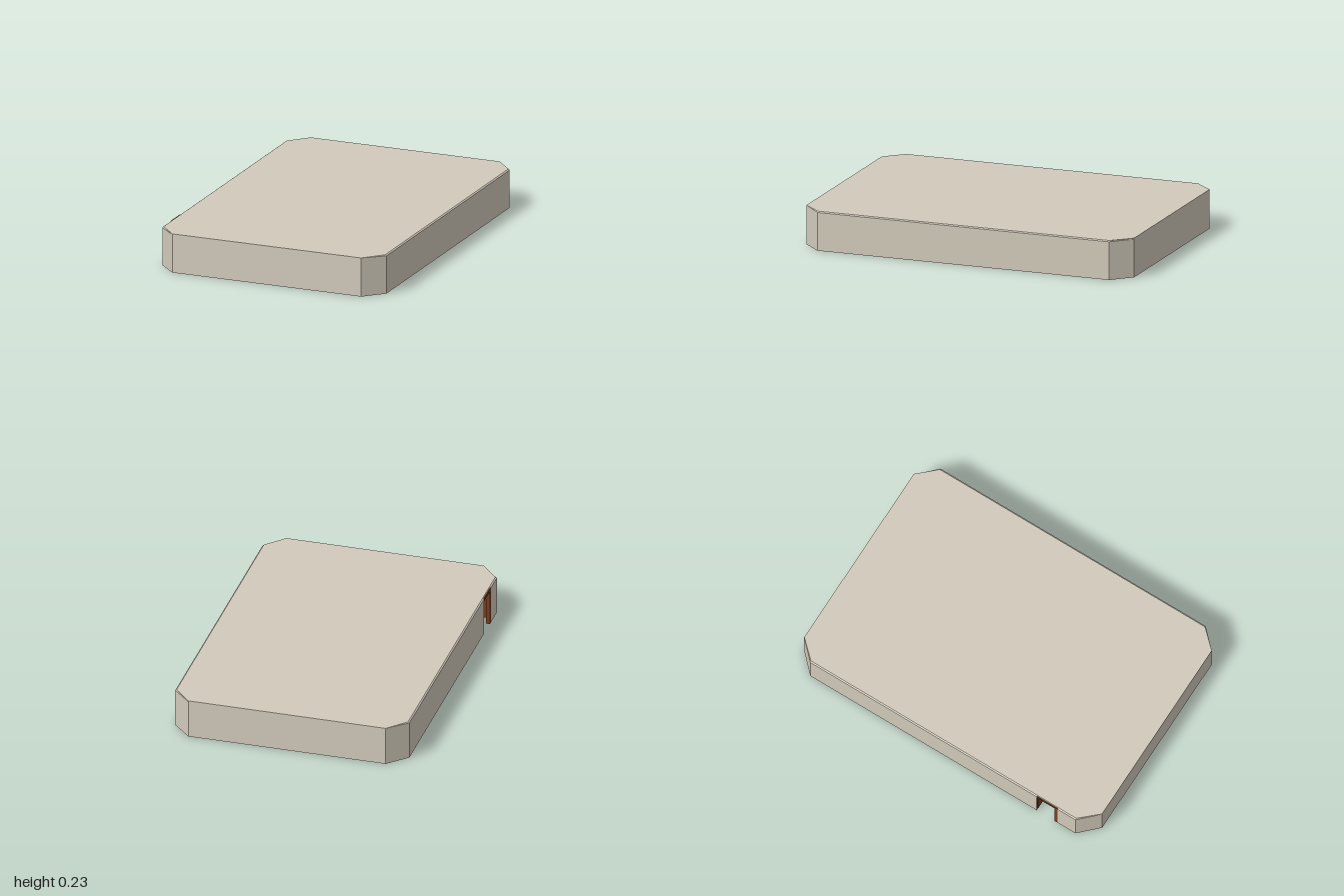
import * as THREE from 'three';

export function createModel() {
  const model = new THREE.Group();
  const mat = (name, color) => Object.assign(new THREE.MeshStandardMaterial({ color }), { name });
  const cream = mat('cream', 0xd2cabb);
  const navy = mat('navy', 0x2e3d50);
  const dark = mat('darkNavy', 0x2d3545);
  const brown = mat('brown', 0x784020);

  const add = (name, geo, material) => {
    const m = new THREE.Mesh(geo, material);
    m.name = name;
    model.add(m);
    return m;
  };
  // box given by its limits on each axis
  const box = (name, material, x0, x1, y0, y1, z0, z1) => {
    const m = add(name, new THREE.BoxGeometry(x1 - x0, y1 - y0, z1 - z0), material);
    m.position.set((x0 + x1) / 2, (y0 + y1) / 2, (z0 + z1) / 2);
  };
  // upright panel from (x0,z0) to (x1,z1); outside lies to the left of travel
  const panel = (name, material, [x0, z0], [x1, z1], y0, y1, t) => {
    const len = Math.hypot(x1 - x0, z1 - z0);
    const g = new THREE.BoxGeometry(len, y1 - y0, t);
    g.translate(0, 0, -t / 2);
    const m = add(name, g, material);
    m.position.set((x0 + x1) / 2, (y0 + y1) / 2, (z0 + z1) / 2);
    m.rotation.y = -Math.atan2(z1 - z0, x1 - x0);
  };
  // horizontal slab from a plan outline in x, z
  const plan = pts => new THREE.Shape(pts.map(([x, z]) => new THREE.Vector2(x, -z)));
  const slab = (shape, y0, y1) => {
    const g = new THREE.ExtrudeGeometry(shape, { depth: y1 - y0, bevelEnabled: false });
    g.rotateX(-Math.PI / 2);
    g.translate(0, y0, 0);
    return g;
  };

  // outer shell: chamfered rectangle, counter-clockwise from the front left
  const outline = [[-0.583, 1], [0.583, 1], [0.692, 0.89], [0.692, -0.89],
    [0.583, -1], [-0.583, -1], [-0.692, -0.89], [-0.692, 0.89]];
  const wallTop = 0.224, doorBack = 0.63, doorFront = 0.77;
  outline.forEach((a, i) => {
    const b = outline[(i + 1) % 8];
    if (i === 6) {
      panel('sideWallBack', cream, a, [-0.692, doorBack], 0, wallTop, 0.01);
      panel('sideWallFront', cream, [-0.692, doorFront], b, 0, wallTop, 0.01);
    } else panel('outerWall', cream, a, b, 0, wallTop, 0.01);
  });

  // roof with a narrow bevel along the long sides
  const roof = slab(plan(outline), wallTop, 0.23);
  const p = roof.attributes.position;
  for (let i = 0; i < p.count; i++) {
    if (p.getY(i) > 0.229 && Math.abs(p.getX(i)) > 0.6) p.setX(i, Math.sign(p.getX(i)) * 0.684);
  }
  roof.computeVertexNormals();
  add('roof', roof, cream);

  // doorway lining
  box('doorJamb', brown, -0.69, -0.6, 0.03, wallTop, doorFront - 0.006, doorFront);
  box('doorJamb', brown, -0.69, -0.6, 0.03, wallTop, doorBack, doorBack + 0.006);
  box('doorPost', brown, -0.692, -0.67, 0, wallTop, doorFront - 0.02, doorFront);
  box('doorLintel', brown, -0.693, -0.6, 0.21, 0.227, doorBack, doorFront);

  // back deck with angled corners
  add('backDeck', slab(plan([[0.42, -0.44], [0.63, -0.5], [0.42, -0.78],
    [-0.42, -0.78], [-0.63, -0.5], [-0.42, -0.44]]), 0.008, 0.02), cream);

  // crescent ledge at the front, with a curved brown rim
  const ledge = plan([[-0.6, 0.69], [0.6, 0.69]]);
  ledge.quadraticCurveTo(0, -0.94, -0.6, -0.69);
  add('frontLedge', slab(ledge, 0.008, 0.02), cream);
  const rim = new THREE.QuadraticBezierCurve3(new THREE.Vector3(-0.62, 0.008, 0.68),
    new THREE.Vector3(0, 0.008, 0.95), new THREE.Vector3(0.62, 0.008, 0.68));
  add('frontRim', new THREE.TubeGeometry(rim, 20, 0.006, 6), brown);

  // hollow eight-sided column hanging from the ceiling
  const column = [[-0.07, 0.16], [0.07, 0.16], [0.13, 0.1], [0.13, -0.1],
    [0.07, -0.16], [-0.07, -0.16], [-0.13, -0.1], [-0.13, 0.1]]
    .map(([x, z]) => [x, z + 0.5]);
  column.forEach((a, i) => {
    panel('columnWall', i === 4 || i === 5 ? navy : cream, a, column[(i + 1) % 8], 0.01, wallTop, 0.005);
  });
  box('columnTable', brown, -0.05, 0.05, 0.06, 0.07, 0.49, 0.52);
  box('columnTableLeg', brown, -0.01, 0.01, 0.02, 0.06, 0.495, 0.515);

  // dark lower plate: centre and two arms
  box('lowerPlate', dark, -0.4, 0.4, 0, 0.007, -0.45, 0.16);
  for (const s of [-1, 1]) {
    const x = s * 0.45;
    box('lowerPlateArm', dark, x - 0.05, x + 0.05, 0, 0.007, 0.1, 0.78);
    // thin rail beside the plate
    box('plateRail', dark, s * 0.44 - 0.002, s * 0.44 + 0.002, 0.03, 0.034, -0.44, 0.1);
  }

  // floor seams and studs across the back
  for (const z of [-0.5, -0.62]) {
    const w = z === -0.5 ? 0.62 : 0.53;
    box('floorSeam', brown, -w, w, 0.002, 0.009, z - 0.004, z + 0.004);
  }
  for (let i = 0; i < 16; i++) {
    const x = -0.375 + i * 0.05;
    box('stud', brown, x - 0.008, x + 0.008, 0.002, 0.009, -0.472, -0.463);
  }

  // angled navy walls round the back of the deck
  const backWall = [[0.63, -0.5], [0.42, -0.78], [-0.42, -0.78], [-0.63, -0.5]];
  for (let i = 0; i < 3; i++) {
    panel('backPartition', navy, backWall[i], backWall[i + 1], 0.016, wallTop, 0.01);
    panel('backPartitionBase', brown, backWall[i], backWall[i + 1], 0.004, 0.016, 0.012);
  }
  box('wallStripe', cream, -0.4, 0.3, 0.036, 0.046, -0.786, -0.781);

  // corridor walls with posts on both sides
  for (const s of [-1, 1]) {
    const at = (name, m, x, t, y0, y1, z0, z1) =>
      box(name, m, s * x - t / 2, s * x + t / 2, y0, y1, z0, z1);
    at('corridorWall', navy, 0.645, 0.01, 0.01, wallTop, -0.5, 0.62);
    at('corridorBase', brown, 0.642, 0.018, 0, 0.01, -0.5, 0.62);
    at('corridorCornice', brown, 0.638, 0.012, 0.212, wallTop, -0.5, 0.62);
    for (let i = 0; i < 6; i++) {
      const z = -0.46 + i * 0.2;
      at('corridorPost', brown, 0.636, 0.016, 0, wallTop, z - 0.01, z + 0.01);
      // ceiling beam over each corridor
      at('corridorBeam', brown, 0.53, 0.2, 0.212, wallTop, z - 0.004, z + 0.004);
      if (i < 5) at('corridorLamp', cream, 0.637, 0.012, 0.12, 0.132, z + 0.09, z + 0.102);
    }
    at('backPost', brown, 0.67, 0.018, 0, wallTop, -0.68, -0.665);
  }

  // small consoles and seats along the front wall
  for (let i = 0; i < 9; i++) {
    const x = -0.48 + i * 0.12;
    box('console', dark, x - 0.03, x + 0.03, 0.075, 0.085, 0.965, 0.985);
    box('consoleLeg', dark, x - 0.003, x + 0.003, 0.03, 0.075, 0.97, 0.976);
    if (i % 2) box('frontSeat', brown, x - 0.012, x + 0.012, 0.04, 0.055, 0.93, 0.95);
  }
  box('cabinet', cream, 0.24, 0.34, 0.03, 0.1, 0.88, 0.94);
  for (const x of [-0.5, 0, 0.5]) {
    box('frontPost', cream, x - 0.008, x + 0.008, 0.02, wallTop, 0.97, 0.988);
  }
  return model;
}
